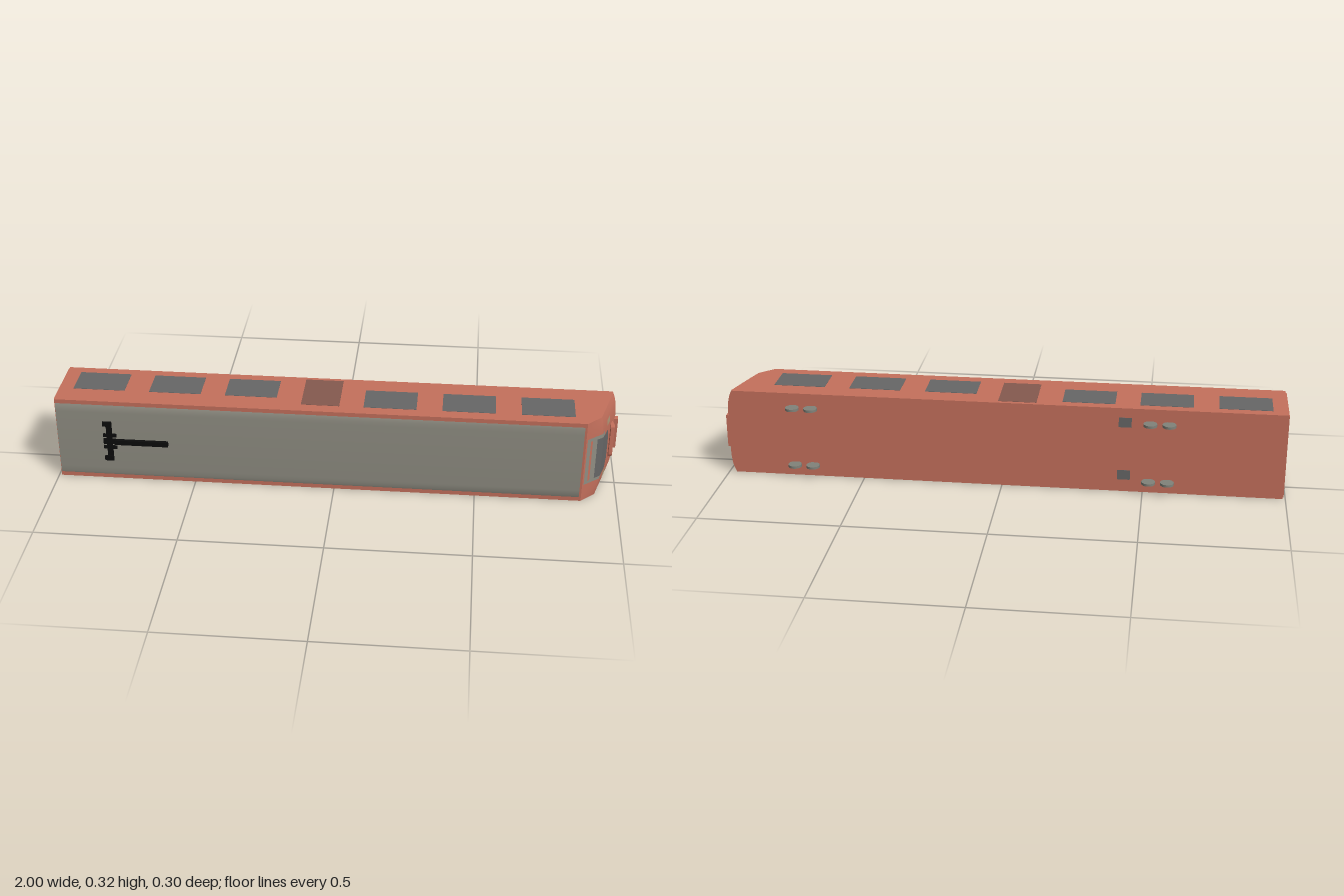
import * as THREE from 'three';
import { toCreasedNormals } from 'three/addons/utils/BufferGeometryUtils.js';

const H = 0.315, MID = H / 2;      // extent in y (the carriage lies on its side, roof facing +z)
const NOSE = 0.87, TOP = 0.133, FLOOR = -0.105;

const mat = (color) => new THREE.MeshStandardMaterial({ color });
const M = {
  body: mat(0xc4705c), roof: mat(0x8f8d82), glass: mat(0x666666), door: mat(0x85594f),
  wheel: mat(0x80827a), lamp: mat(0xad9475), black: mat(0x0c0c0c),
};

// Nose profile: z -> x along the centre line
const PROFILE = [[0.133, 0.875], [0.105, 0.908], [0.085, 0.933], [0.015, 0.956], [-0.095, 0.99], [-0.105, 0.99]];
function noseX(z, y) {
  let x = PROFILE[PROFILE.length - 1][1];
  if (z >= PROFILE[0][0]) x = PROFILE[0][1];
  else for (let i = 0; i < PROFILE.length - 1; i++) {
    const [za, xa] = PROFILE[i], [zb, xb] = PROFILE[i + 1];
    if (z <= za && z >= zb) { x = xa + (xb - xa) * (za - z) / (za - zb); break; }
  }
  const s = Math.abs((y - MID) / MID);
  return NOSE + (x - NOSE) * (1 - 0.14 * s ** 5);
}

export function createModel() {
  const group = new THREE.Group();
  const add = (name, geometry, material) => {
    const mesh = new THREE.Mesh(geometry, material);
    mesh.name = name;
    group.add(mesh);
    return mesh;
  };
  // Box given by its limits
  const box = (name, x0, x1, y0, y1, z0, z1, material) => {
    const m = add(name, new THREE.BoxGeometry(x1 - x0, y1 - y0, z1 - z0), material);
    m.position.set((x0 + x1) / 2, (y0 + y1) / 2, (z0 + z1) / 2);
    return m;
  };
  // Panel laid on the nose face; half(t) is its half width from top (0) to bottom (1)
  const nosePanel = (name, zTop, zBottom, yc, half, lift, material) => {
    const g = new THREE.PlaneGeometry(1, 1, 10, 16);
    const p = g.attributes.position;
    for (let i = 0; i < p.count; i++) {
      const t = 0.5 - p.getY(i);
      const z = zTop + (zBottom - zTop) * t;
      const y = yc + p.getX(i) * 2 * half(t);
      p.setXYZ(i, noseX(z, y) + lift, y, z);
    }
    g.computeVertexNormals();
    return add(name, g, material);
  };

  // Carriage body and cambered roof
  box('body', -0.99, NOSE, 0, H, FLOOR, TOP, M.body);
  const roofSection = new THREE.Shape();
  roofSection.moveTo(0.01, TOP - 0.002);
  roofSection.lineTo(0.022, 0.1355);
  roofSection.quadraticCurveTo(MID, 0.1395, H - 0.022, 0.1355);
  roofSection.lineTo(H - 0.01, TOP - 0.002);
  const roofGeo = new THREE.ExtrudeGeometry(roofSection, { depth: 1.855, bevelEnabled: false, curveSegments: 12 });
  // section (y, z) swept along x
  roofGeo.applyMatrix4(new THREE.Matrix4().makeBasis(
    new THREE.Vector3(0, 1, 0), new THREE.Vector3(0, 0, 1), new THREE.Vector3(1, 0, 0)));
  roofGeo.translate(-0.988, 0, 0);
  add('roof', toCreasedNormals(roofGeo, 0.5), M.roof);

  // Rear end plate and coupling
  box('rearPlate', -0.994, -0.988, 0.004, H - 0.004, -0.1, 0.12, M.body);
  box('rearCoupling', -1.0, -0.99, MID - 0.006, MID + 0.006, -0.012, 0.012, M.black);

  // Cab nose: a box whose front is pulled to the profile
  const noseGeo = new THREE.BoxGeometry(1, 1, 1, 1, 16, 24);
  const p = noseGeo.attributes.position;
  for (let i = 0; i < p.count; i++) {
    const y = MID + p.getY(i) * H;
    const z = FLOOR + (p.getZ(i) + 0.5) * (TOP - FLOOR);
    p.setXYZ(i, NOSE + (p.getX(i) + 0.5) * (noseX(z, y) - NOSE), y, z);
  }
  add('cabNose', toCreasedNormals(noseGeo, 0.6), M.body);

  // Windscreen with its grey surround, wiper strip and lamps
  nosePanel('windscreenSurround', 0.13, 0.057, MID, () => 0.092, 0.0015, M.roof);
  nosePanel('windscreenStrip', 0.121, 0.115, MID, () => 0.08, 0.003, M.body);
  nosePanel('windscreen', 0.102, 0.015, MID, (t) => (t < 0.82 ? 0.079 : 0.079 - 0.034 * (t - 0.82) / 0.18), 0.004, M.glass);
  for (const side of [-1, 1])
    nosePanel('headlamp', 0.033, -0.006, MID + side * 0.106, () => 0.012, 0.002, M.lamp);

  // Raised bumper frame around the coupling recess, with a lower beam
  const frame = new THREE.Shape();
  [[-0.066, -0.03], [0.066, -0.03], [0.066, 0.018], [0.056, 0.023], [-0.056, 0.023], [-0.066, 0.018]]
    .forEach(([a, b], i) => (i ? frame.lineTo(a, b) : frame.moveTo(a, b)));
  const hole = new THREE.Path();
  [[-0.044, -0.016], [-0.044, 0.01], [0.044, 0.01], [0.044, -0.016]]
    .forEach(([a, b], i) => (i ? hole.lineTo(a, b) : hole.moveTo(a, b)));
  frame.holes.push(hole);
  const frameGeo = new THREE.ExtrudeGeometry(frame, { depth: 0.014, bevelEnabled: false });
  frameGeo.applyMatrix4(new THREE.Matrix4().makeBasis(
    new THREE.Vector3(0, 1, 0), new THREE.Vector3(0, 0, 1), new THREE.Vector3(1, 0, 0)));
  const bumper = add('bumperFrame', frameGeo, M.body);
  bumper.position.set(0.966, MID, -0.045);
  bumper.rotation.y = 0.25;
  box('lowerBeam', 0.97, 1.0, MID - 0.06, MID + 0.06, -0.1, -0.08, M.body);

  // Side windows and doors, on both long sides
  const windows = [
    [-0.94, -0.07, 0.05], [-0.667, -0.07, 0.05], [-0.395, -0.07, 0.05],
    [0.1, -0.03, 0.09], [0.375, -0.03, 0.09], [0.65, -0.03, 0.09],
  ];
  for (const [lo, hi] of [[-0.001, 0.004], [H - 0.004, H + 0.001]]) {
    for (const [x, z0, z1] of windows) box('sideWindow', x, x + 0.185, lo, hi, z0, z1, M.glass);
    box('sideDoor', -0.12, 0.015, lo, hi, -0.09, 0.09, M.door);
  }

  // Wheels, in two pairs at each end, and small plates underneath
  for (const y of [0.047, 0.266]) {
    for (const x of [-0.586, -0.52, 0.682, 0.748]) {
      const wheel = add('wheel', new THREE.CylinderGeometry(0.024, 0.024, 0.009, 24), M.wheel);
      wheel.position.set(x, y, -0.127);
    }
  }
  for (const y of [0.063, 0.262])
    box('underPlate', -0.455, -0.41, y - 0.018, y + 0.018, FLOOR - 0.001, FLOOR + 0.004, M.glass);

  // Current collector on the roof
  const za = 0.134, zb = 0.144;
  box('collectorArm', -0.78, -0.59, MID - 0.009, MID + 0.009, za, 0.15, M.black);
  box('collectorBar', -0.81, -0.79, 0.1, 0.22, za, zb, M.black);
  box('collectorBase', -0.822, -0.778, MID - 0.01, MID + 0.01, za, zb, M.black);
  for (const side of [-1, 1]) {
    box('collectorFoot', -0.822, -0.79, MID + side * 0.07 - 0.009, MID + side * 0.07 + 0.009, za, zb, M.black);
    box('collectorBrace', -0.822, -0.775, MID + side * 0.024 - 0.006, MID + side * 0.024 + 0.006, za, zb, M.black);
  }
  return group;
}
